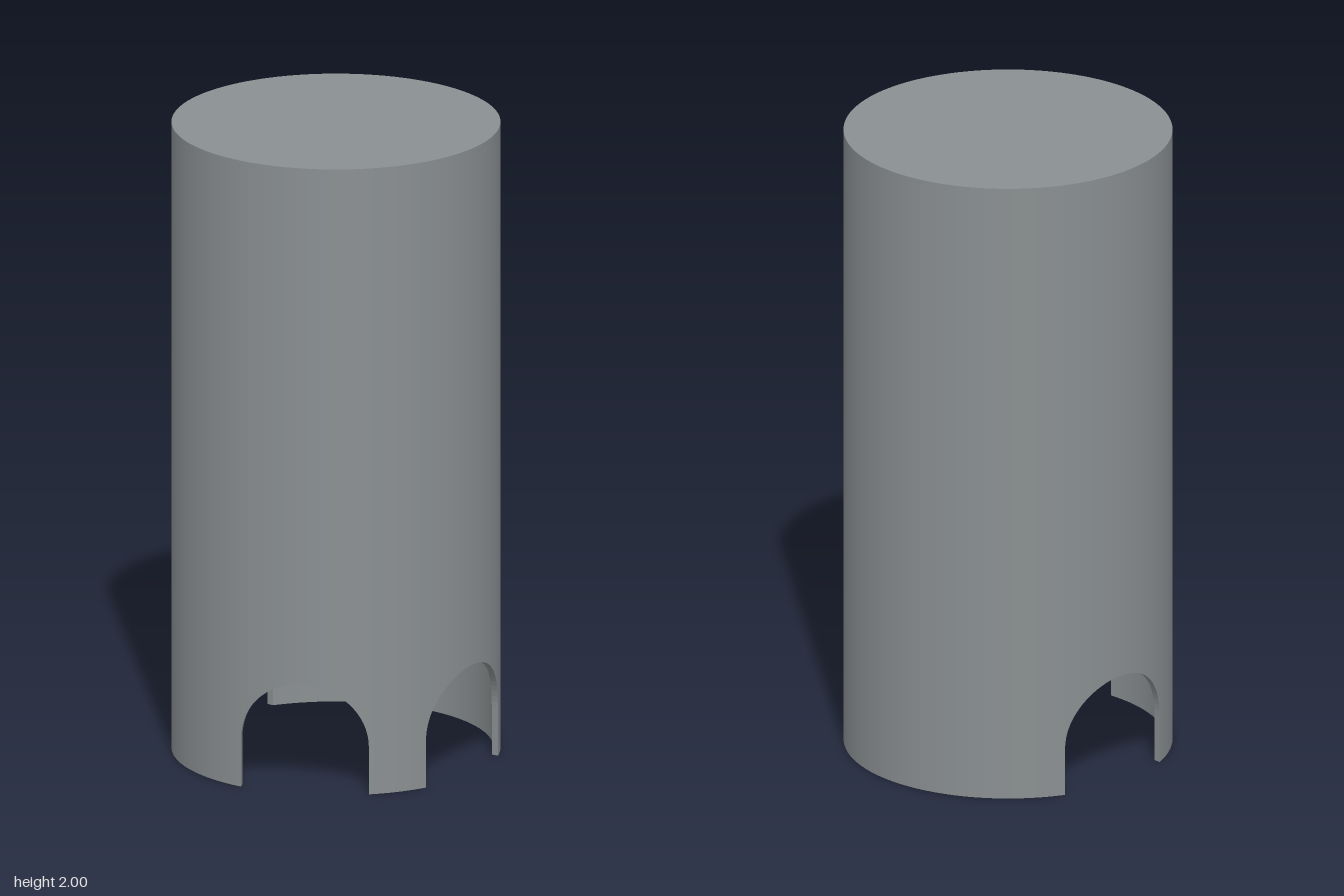
import * as THREE from 'three';

const OUTER = 0.503, INNER = 0.482, HEIGHT = 2, CEILING = 1.98;
const HALF = 0.2, SPRING = 0.15; // arch half width and height of its straight sides
const ARCHES = [-77.7, 42.3, 110.8].map(THREE.MathUtils.degToRad); // from front towards +x

// Columns around the wall: outer angle, inner angle and height of the lower edge
function wallColumns() {
  const columns = [];
  const half = Math.asin(HALF / OUTER), halfIn = Math.asin(HALF / INNER);
  ARCHES.forEach((c, i) => {
    columns.push({ o: c - half, i: c - halfIn, y: 0 });
    for (let k = 0; k <= 32; k++) {
      const t = Math.PI * k / 32, u = -HALF * Math.cos(t);
      columns.push({ o: c + Math.asin(u / OUTER), i: c + Math.asin(u / INNER), y: SPRING + HALF * Math.sin(t) });
    }
    // solid stretch up to the next arch
    const next = i + 1 < ARCHES.length ? ARCHES[i + 1] : ARCHES[0] + 2 * Math.PI;
    const steps = Math.max(8, Math.ceil((next - c - 2 * half) / 0.06));
    for (let k = 0; k <= steps; k++) {
      columns.push({
        o: THREE.MathUtils.lerp(c + half, next - half, k / steps),
        i: THREE.MathUtils.lerp(c + halfIn, next - halfIn, k / steps),
        y: 0
      });
    }
  });
  return columns;
}

const polar = (r, a, y) => [r * Math.sin(a), y, r * Math.cos(a)];

function quads(list) {
  const pos = [];
  for (const [a, b, c, d] of list) pos.push(...a, ...b, ...c, ...a, ...c, ...d);
  const g = new THREE.BufferGeometry();
  g.setAttribute('position', new THREE.Float32BufferAttribute(pos, 3));
  g.computeVertexNormals();
  return g;
}

// Give a wall surface smooth radial normals
function roundNormals(g, sign) {
  const p = g.attributes.position, n = g.attributes.normal;
  for (let i = 0; i < p.count; i++) {
    const l = Math.hypot(p.getX(i), p.getZ(i)) * sign;
    n.setXYZ(i, p.getX(i) / l, 0, p.getZ(i) / l);
  }
  return g;
}

export function createModel() {
  const group = new THREE.Group();
  group.name = 'archedCylinder';
  const grey = new THREE.MeshStandardMaterial({ color: 0x8a8f91 });
  grey.name = 'grey';
  const add = (name, geometry) => {
    const mesh = new THREE.Mesh(geometry, grey);
    mesh.name = name;
    group.add(mesh);
    return mesh;
  };

  const outside = [], inside = [], rim = [];
  const columns = wallColumns();
  for (let k = 0; k + 1 < columns.length; k++) {
    const a = columns[k], b = columns[k + 1];
    const oa = polar(OUTER, a.o, a.y), ob = polar(OUTER, b.o, b.y);
    const ia = polar(INNER, a.i, a.y), ib = polar(INNER, b.i, b.y);
    if (b.o - a.o > 1e-6) {
      outside.push([oa, ob, polar(OUTER, b.o, HEIGHT), polar(OUTER, a.o, HEIGHT)]);
      inside.push([ib, ia, polar(INNER, a.i, CEILING), polar(INNER, b.i, CEILING)]);
    }
    if (Math.abs(b.o - a.o) + Math.abs(b.y - a.y) > 1e-6) rim.push([oa, ia, ib, ob]);
  }
  add('outerWall', roundNormals(quads(outside), 1));
  add('innerWall', roundNormals(quads(inside), -1));
  add('lowerRim', quads(rim));

  // Closed top, seen from above and from inside
  const lid = add('topFace', new THREE.CircleGeometry(OUTER, 128));
  lid.rotation.x = -Math.PI / 2;
  lid.position.y = HEIGHT;
  const ceiling = add('ceiling', new THREE.CircleGeometry(INNER, 128));
  ceiling.rotation.x = Math.PI / 2;
  ceiling.position.y = CEILING;

  return group;
}
